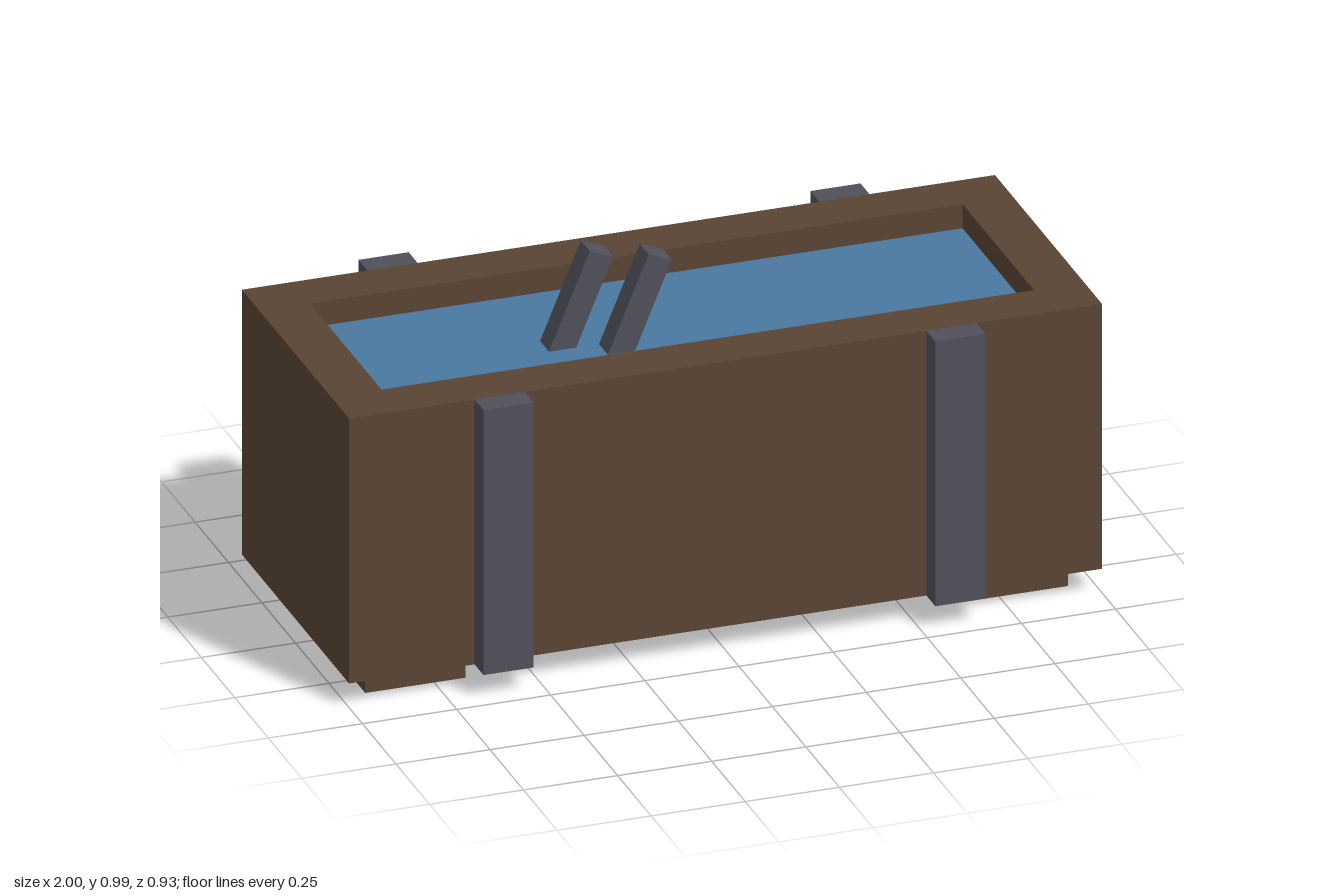
import * as THREE from 'three';

const U = 1 / 15; // modelling unit: the trough is 30 units long

const material = (name, color) => {
  const m = new THREE.MeshStandardMaterial({ color });
  m.name = name;
  return m;
};

export function createModel() {
  const wood = material('dark wood', 0x5a4434);
  const iron = material('dark iron', 0x50505b);
  const blue = material('water blue', 0x4b79a1);
  const model = new THREE.Group();
  model.name = 'waterTrough';

  const add = (name, geometry, mat, x, y, z) => {
    const mesh = new THREE.Mesh(geometry, mat);
    mesh.name = name;
    mesh.position.set(x * U, y * U, z * U);
    model.add(mesh);
    return mesh;
  };
  const box = (w, h, d) => new THREE.BoxGeometry(w * U, h * U, d * U);

  // Trough walls: a rectangular frame extruded upwards
  const rectangle = (path, w, d) => path
    .moveTo(-w * U, -d * U).lineTo(w * U, -d * U)
    .lineTo(w * U, d * U).lineTo(-w * U, d * U).closePath();
  const frame = new THREE.Shape();
  rectangle(frame, 15, 6);
  const opening = new THREE.Path();
  rectangle(opening, 13, 4);
  frame.holes.push(opening);
  const walls = new THREE.ExtrudeGeometry(frame, { depth: 11 * U, bevelEnabled: false });
  walls.rotateX(-Math.PI / 2);
  add('troughWalls', walls, wood, 0, 1, 0);

  // Floor closing the frame, and the water one unit below the rim
  add('troughFloor', box(26, 1, 8), wood, 0, 1.5, 0);
  const surface = new THREE.PlaneGeometry(26 * U, 8 * U).rotateX(-Math.PI / 2);
  add('waterSurface', surface, blue, 0, 11, 0);

  // Feet and iron straps, mirrored
  for (const sx of [1, -1]) {
    const side = sx > 0 ? 'left' : 'right';
    add(side + 'Foot', box(4, 1, 10), wood, sx * 12, 0.5, 0);
    for (const sz of [1, -1]) {
      add(side + (sz > 0 ? 'Front' : 'Back') + 'Strap', box(2, 11, 1), iron, sx * 9, 6.5, sz * 6.5);
    }
  }

  // Two tilted tong handles standing in the water
  const tilt = Math.PI / 8;
  const length = 7;
  [[-3.17, 0.5], [-1.18, 1.5]].forEach(([topX, z], i) => {
    const handle = add('tongHandle' + (i + 1), box(1, length, 1), iron,
      topX - Math.sin(tilt) * length / 2, 14.73 - Math.cos(tilt) * length / 2, z);
    handle.rotation.z = -tilt;
  });

  return model;
}
